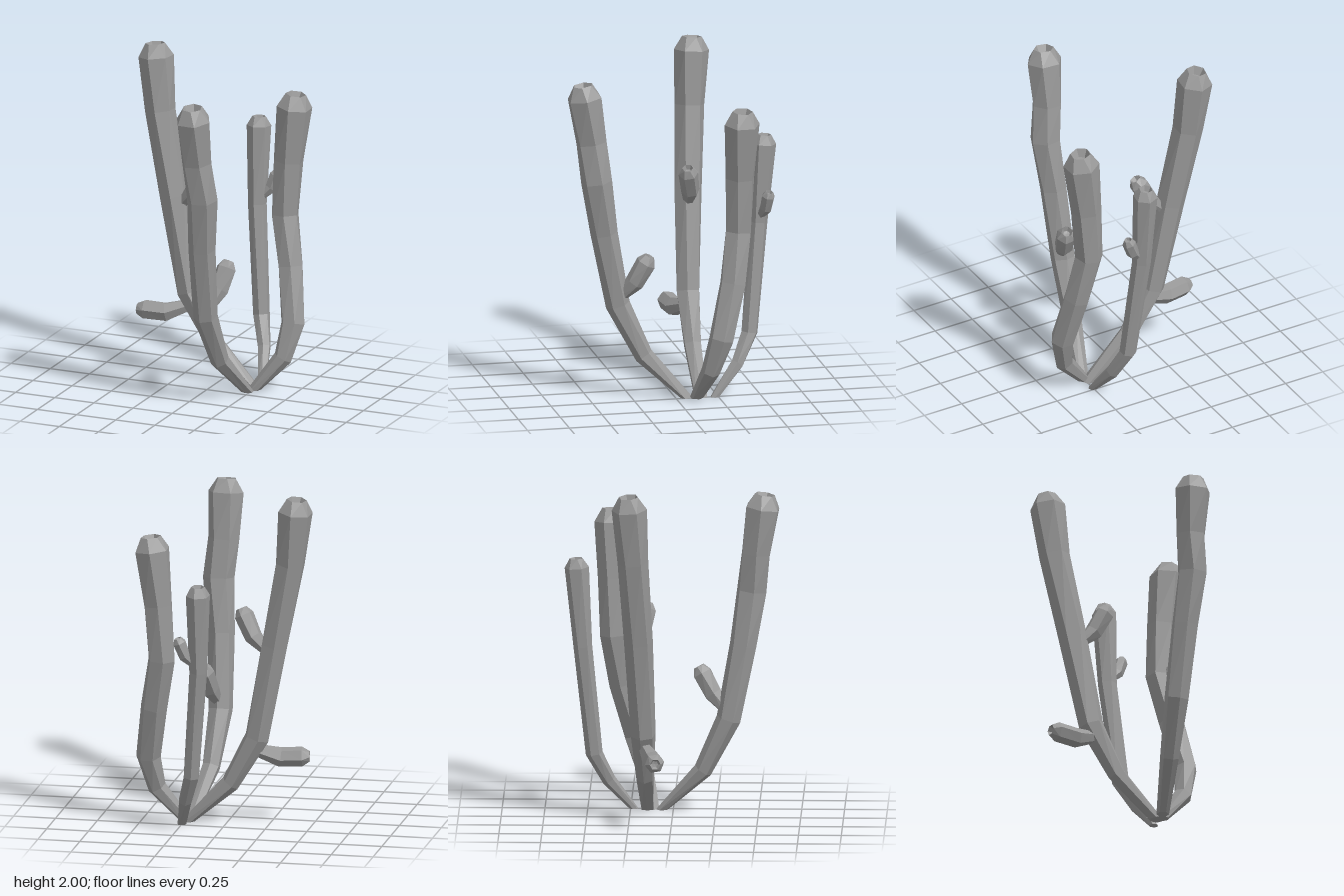
import * as THREE from 'three';

const SIDES = 6;

// Each stalk is a list of [x, y, z, radius], from root to shoulder.
const STALKS = {
  leftStalk: [[0.23, 0, -0.15, 0.04], [-0.025, 0.245, -0.158, 0.055], [-0.185, 0.53, -0.165, 0.075],
    [-0.295, 1.1, -0.19, 0.085], [-0.395, 1.6, -0.22, 0.09], [-0.43, 1.92, -0.24, 0.104]],
  frontStalk: [[0.23, 0, -0.065, 0.037], [0.16, 0.25, 0.175, 0.055], [0.135, 0.56, 0.325, 0.072],
    [0.15, 1, 0.41, 0.08], [0.175, 1.32, 0.46, 0.092], [0.15, 1.55, 0.485, 0.092], [0.145, 1.82, 0.525, 0.107]],
  rightStalk: [[0.25, 0, -0.12, 0.04], [0.41, 0.2, -0.17, 0.055], [0.45, 0.4, -0.225, 0.073],
    [0.4, 0.72, -0.305, 0.08], [0.345, 1.02, -0.35, 0.084], [0.365, 1.35, -0.355, 0.09], [0.4, 1.68, -0.36, 0.106]],
  backStalk: [[0.25, 0, -0.23, 0.027], [0.2, 0.18, -0.375, 0.04], [0.145, 0.35, -0.46, 0.05],
    [0.09, 1, -0.525, 0.055], [0.085, 1.47, -0.56, 0.072]],
};

const BUDS = {
  lowerLeftBud: [[-0.17, 0.455, -0.16, 0.035], [-0.31, 0.405, -0.11, 0.058], [-0.44, 0.41, -0.093, 0.058]],
  upperLeftBud: [[-0.24, 1.06, -0.18, 0.03], [-0.165, 1.14, -0.175, 0.054], [-0.105, 1.26, -0.15, 0.058]],
  frontBud: [[0.15, 0.61, 0.31, 0.03], [0.18, 0.7, 0.235, 0.056], [0.2, 0.82, 0.17, 0.06]],
  backBud: [[0.11, 1.04, -0.53, 0.022], [0.165, 1.1, -0.553, 0.038], [0.195, 1.18, -0.562, 0.04]],
};

// Six-sided tube with a bevelled shoulder and a sunken mouth.
function tubeGeometry(path, grounded, twist) {
  const centres = path.map((p) => new THREE.Vector3(p[0], p[1], p[2]));
  const last = centres.length - 1;
  const up = new THREE.Vector3(0, 1, 0);
  const positions = [], indices = [];

  const addRing = (centre, direction, radius, turn) => {
    const q = new THREE.Quaternion().setFromUnitVectors(up, direction);
    for (let i = 0; i < SIDES; i++) {
      const a = (i / SIDES) * Math.PI * 2 + turn;
      const v = new THREE.Vector3(Math.cos(a) * radius, 0, Math.sin(a) * radius);
      v.applyQuaternion(q).add(centre);
      positions.push(v.x, v.y, v.z);
    }
  };

  let direction;
  centres.forEach((c, i) => {
    direction = centres[Math.min(i + 1, last)].clone().sub(centres[Math.max(i - 1, 0)]).normalize();
    addRing(c, i === 0 && grounded ? up : direction, path[i][3], twist + i * 0.12);
  });

  // Rim and inside of the mouth
  const r = path[last][3], turn = twist + last * 0.12;
  const along = (d) => centres[last].clone().addScaledVector(direction, d);
  addRing(along(r * 0.75), direction, r * 0.56, turn + 0.2);
  addRing(along(r * 0.3), direction, r * 0.34, turn + 0.2);

  const rings = centres.length + 2;
  for (let k = 0; k < rings - 1; k++) {
    for (let i = 0; i < SIDES; i++) {
      const j = (i + 1) % SIDES;
      const a = k * SIDES + i, b = k * SIDES + j, c = a + SIDES, d = b + SIDES;
      indices.push(a, c, b, b, c, d);
    }
  }

  // Root cap and mouth floor
  const root = positions.length / 3;
  positions.push(...centres[0].toArray(), ...along(r * 0.25).toArray());
  const floor = (rings - 1) * SIDES;
  for (let i = 0; i < SIDES; i++) {
    const j = (i + 1) % SIDES;
    indices.push(root, i, j, root + 1, floor + j, floor + i);
  }

  const geometry = new THREE.BufferGeometry();
  geometry.setAttribute('position', new THREE.Float32BufferAttribute(positions, 3));
  geometry.setIndex(indices);
  const flat = geometry.toNonIndexed();
  flat.computeVertexNormals();
  return flat;
}

export function createModel() {
  const group = new THREE.Group();
  group.name = 'tubeSponge';
  const grey = new THREE.MeshStandardMaterial({ color: 0x999999 });
  grey.name = 'stoneGrey';
  grey.flatShading = true;

  const addAll = (parts, grounded) => Object.entries(parts).forEach(([name, path], i) => {
    const mesh = new THREE.Mesh(tubeGeometry(path, grounded, i * 0.4), grey);
    mesh.name = name;
    group.add(mesh);
  });
  addAll(STALKS, true);
  addAll(BUDS, false);
  return group;
}
